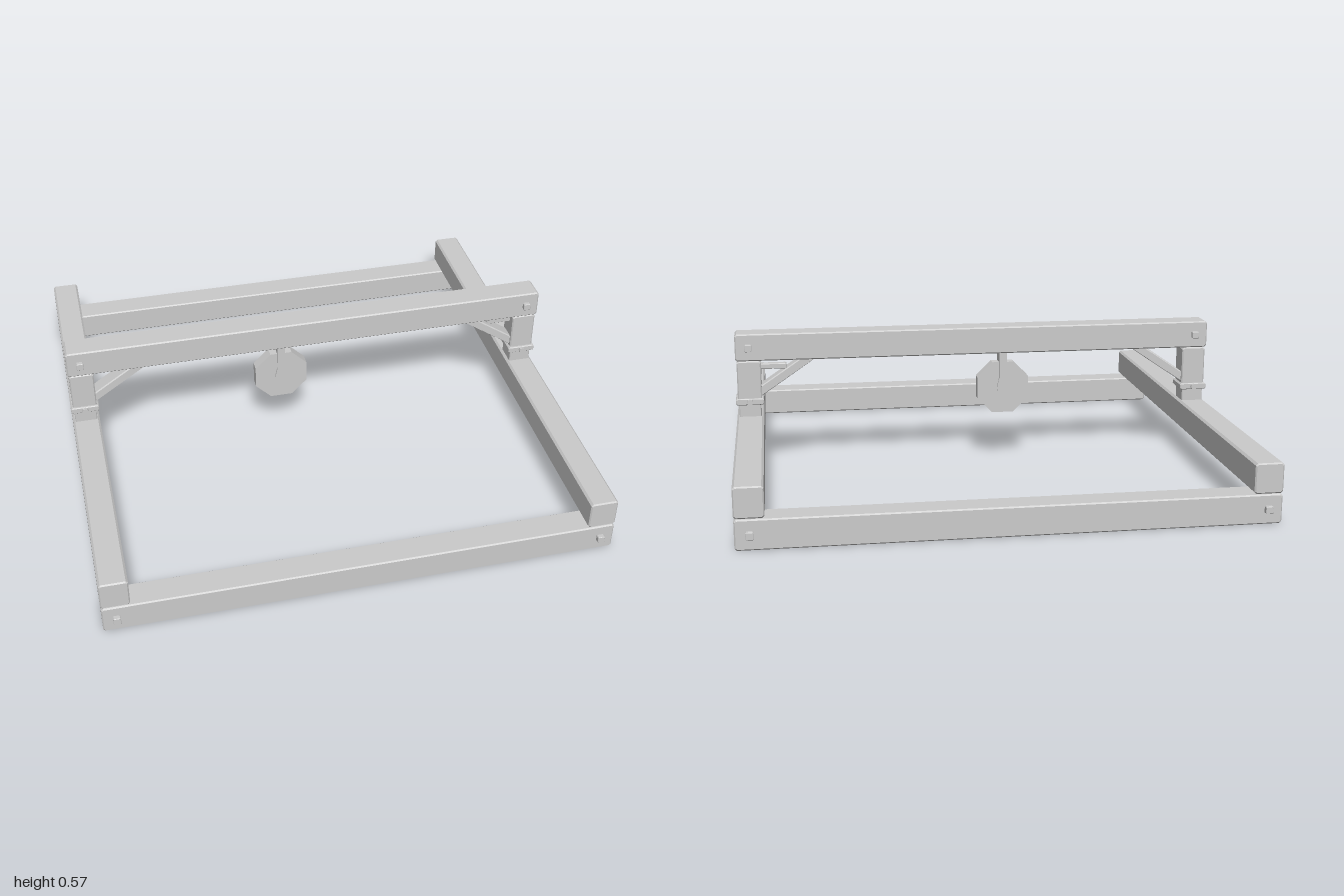
import * as THREE from 'three';

const grey = new THREE.MeshStandardMaterial({ color: 0xcccccc, flatShading: true });

function add(parent, name, geometry, x = 0, y = 0, z = 0) {
  const mesh = new THREE.Mesh(geometry, grey);
  mesh.name = name;
  mesh.position.set(x, y, z);
  parent.add(mesh);
  return mesh;
}

// Extrude a shape along z, centred, with a one-step chamfer inside the given depth
function chamferExtrude(shape, depth, c) {
  return new THREE.ExtrudeGeometry(shape, {
    depth: depth - 2 * c, bevelEnabled: true, bevelSegments: 1,
    bevelSize: c, bevelThickness: c, bevelOffset: -c, curveSegments: 8,
  }).translate(0, 0, -depth / 2 + c);
}

// Timber block with chamfered edges
function block(w, h, d, c = 0.008) {
  const s = new THREE.Shape();
  const x = w / 2, y = h / 2;
  s.moveTo(-x, -y + c).lineTo(-x + c, -y).lineTo(x - c, -y).lineTo(x, -y + c);
  s.lineTo(x, y - c).lineTo(x - c, y).lineTo(-x + c, y).lineTo(-x, y - c);
  s.closePath();
  return chamferExtrude(s, d, c * 0.6);
}

export function createModel() {
  const model = new THREE.Group();
  model.name = 'timberFrame';

  // Ground beams at front and back, with bolt heads on the outer faces
  for (const s of [1, -1]) {
    add(model, s > 0 ? 'frontBeam' : 'backBeam', block(1.96, 0.112, 0.108), 0, 0.056, s * 0.929);
    for (const x of [-0.927, 0.927])
      add(model, 'groundBolt', block(0.028, 0.028, 0.03, 0.003), x, 0.057, s * 0.985);
  }

  // Raised cross beam
  add(model, 'topBeam', block(1.96, 0.11, 0.102), 0, 0.515, 0);

  // Both sides: runner, post, collar, brace and bolts
  for (const s of [1, -1]) {
    const side = new THREE.Group();
    side.name = s > 0 ? 'leftSide' : 'rightSide';
    model.add(side);
    const x = s * 0.927;
    add(side, 'sideBeam', block(0.108, 0.115, 1.964), x, 0.172, 0);
    add(side, 'lowerPost', block(0.088, 0.09, 0.088, 0.005), x, 0.25, 0);
    add(side, 'upperPost', block(0.097, 0.165, 0.092), x, 0.376, 0);
    add(side, 'collar', block(0.113, 0.026, 0.11, 0.005), x, 0.292, 0);
    for (const z of [1, -1]) {
      add(side, 'topBolt', block(0.028, 0.028, 0.03, 0.003), x, 0.515, z * 0.053);
      const bolt = new THREE.CylinderGeometry(0.012, 0.012, 0.025, 8).rotateX(Math.PI / 2);
      add(side, 'collarBolt', bolt, x, 0.292, z * 0.055);
    }

    // Diagonal brace from the post up to the cross beam
    const brace = new THREE.Shape([
      [0.9, 0.297], [0.9, 0.34], [0.71, 0.468], [0.648, 0.468],
    ].map(([px, py]) => new THREE.Vector2(s * px, py)));
    add(side, 'brace', chamferExtrude(brace, 0.066, 0.004));
  }

  // Short tie behind the left brace
  add(model, 'braceTie', block(0.12, 0.022, 0.03, 0.004), 0.835, 0.429, 0);

  // Hanging eight-sided pulley
  const pulley = new THREE.Group();
  pulley.name = 'pulley';
  pulley.position.set(-0.114, 0.31, 0);
  model.add(pulley);
  const R = 0.107 / Math.cos(Math.PI / 8);
  const wheel = new THREE.CylinderGeometry(R, R, 0.044, 8).rotateY(Math.PI / 8).rotateX(Math.PI / 2);
  add(pulley, 'wheel', wheel);

  // Hanger strap widening to a rounded eye over the wheel centre
  const strap = new THREE.Shape();
  strap.moveTo(0.016, 0.16).lineTo(-0.016, 0.16).lineTo(-0.016, 0.04).lineTo(-0.025, 0);
  strap.absarc(0, 0, 0.025, Math.PI, 2 * Math.PI, false);
  strap.lineTo(0.016, 0.04);
  strap.closePath();
  add(pulley, 'hanger', new THREE.ExtrudeGeometry(strap, {
    depth: 0.06, bevelEnabled: false, curveSegments: 6,
  }).translate(0, 0, -0.03));

  return model;
}
